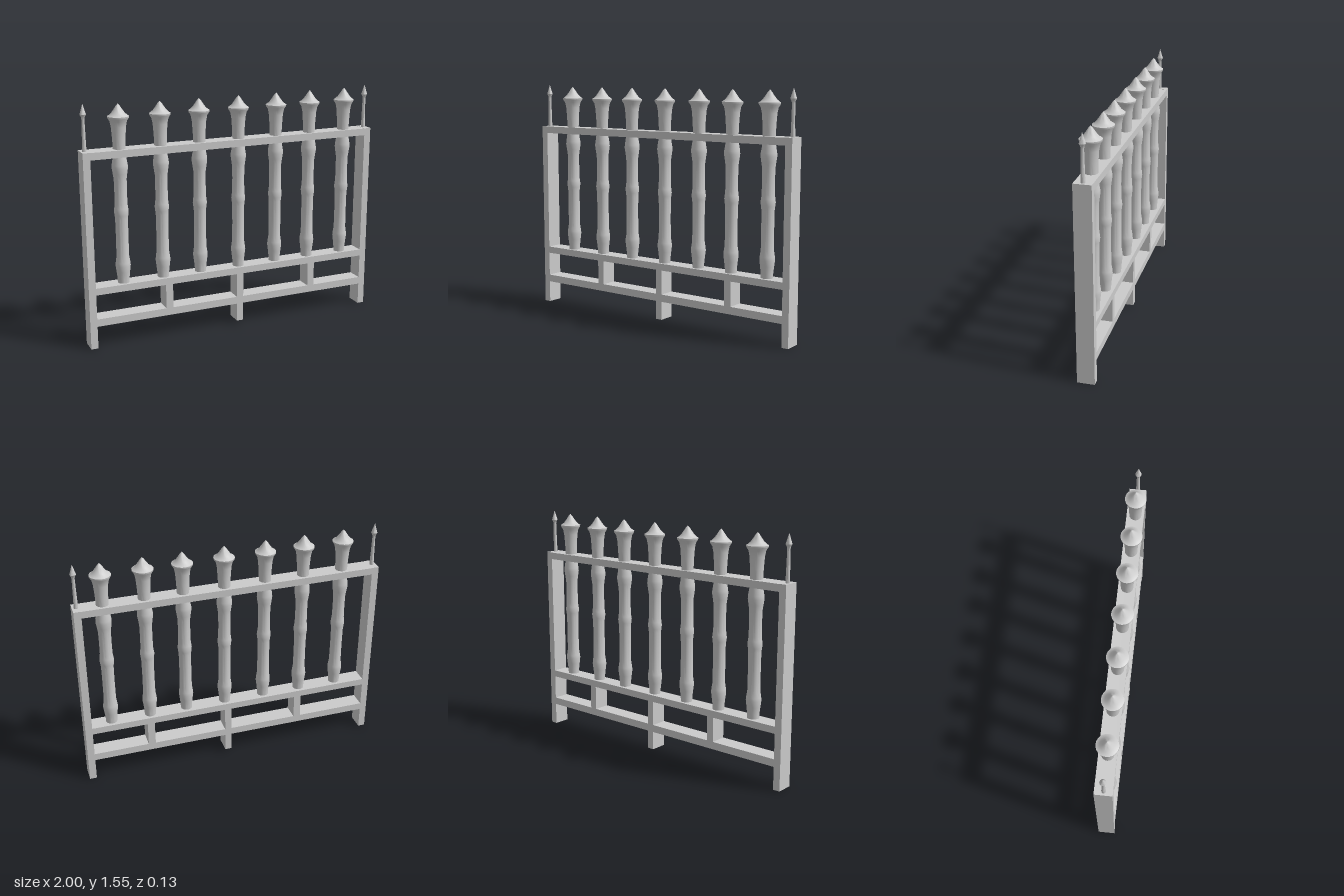
import * as THREE from 'three';
import { toCreasedNormals } from 'three/addons/utils/BufferGeometryUtils.js';

const material = new THREE.MeshStandardMaterial({ color: 0xcccccc, side: THREE.DoubleSide });
const DEPTH = 0.11;

// Rectangular bar given by its extents in x and y
function bar(name, x0, x1, y0, y1, depth = DEPTH) {
  const mesh = new THREE.Mesh(new THREE.BoxGeometry(x1 - x0, y1 - y0, depth), material);
  mesh.position.set((x0 + x1) / 2, (y0 + y1) / 2, -0.001);
  mesh.name = name;
  return mesh;
}

// Turned part from [radius, y] pairs
function turned(profile, sides) {
  const points = profile.map(([r, y]) => new THREE.Vector2(r, y));
  return toCreasedNormals(new THREE.LatheGeometry(points, sides), 0.5);
}

export function createModel() {
  const group = new THREE.Group();
  group.name = 'fencePanel';

  // End posts with thin spikes
  const spikeGeometry = turned([
    [0, 1.26], [0.014, 1.26], [0.012, 1.33], [0.0095, 1.46], [0.012, 1.475],
    [0.02, 1.49], [0.012, 1.515], [0, 1.555],
  ], 12);
  for (const [side, s] of [['left', 1], ['right', -1]]) {
    const x = s * 0.977;
    group.add(bar(side + 'Post', x - 0.023, x + 0.023, 0, 1.265));
    const spike = new THREE.Mesh(spikeGeometry, material);
    spike.name = side + 'Spike';
    spike.position.x = s * 0.974;
    group.add(spike);
  }

  // Horizontal rails
  group.add(bar('topRail', -0.955, 0.955, 1.218, 1.264));
  group.add(bar('middleRail', -0.955, 0.955, 0.357, 0.402));
  group.add(bar('bottomRail', -0.955, 0.955, 0.147, 0.196));

  // Short uprights between the lower rails; the middle one runs on down as a foot
  group.add(bar('rightUpright', -0.492, -0.444, 0.19, 0.36));
  group.add(bar('middleUpright', 0.008, 0.054, 0.025, 0.36));
  group.add(bar('leftUpright', 0.541, 0.589, 0.19, 0.36));

  // Turned balusters with three swellings
  const balusterGeometry = turned([
    [0, 0.39], [0.037, 0.39], [0.038, 0.43], [0.043, 0.475], [0.048, 0.515], [0.046, 0.535], [0.04, 0.575],
    [0.039, 0.7], [0.04, 0.82], [0.043, 0.845], [0.046, 0.868], [0.043, 0.89], [0.04, 0.915],
    [0.039, 1.0], [0.04, 1.075], [0.045, 1.11], [0.05, 1.145], [0.049, 1.165], [0.043, 1.2], [0.04, 1.23],
  ], 24);
  // Flared neck and pointed cap above the top rail
  const finialGeometry = turned([
    [0.038, 1.23], [0.039, 1.275], [0.041, 1.33], [0.046, 1.4], [0.053, 1.435], [0.066, 1.455],
    [0.067, 1.465], [0.06, 1.468], [0.042, 1.484], [0.025, 1.508], [0.012, 1.528], [0, 1.541],
  ], 24);
  [-0.757, -0.49, -0.231, 0.04, 0.308, 0.555, 0.815].forEach((x, i) => {
    const picket = new THREE.Group();
    picket.name = 'picket' + (i + 1);
    const baluster = new THREE.Mesh(balusterGeometry, material);
    baluster.name = 'baluster';
    const finial = new THREE.Mesh(finialGeometry, material);
    finial.name = 'finial';
    picket.add(baluster, finial);
    picket.position.x = x;
    group.add(picket);
  });

  return group;
}
